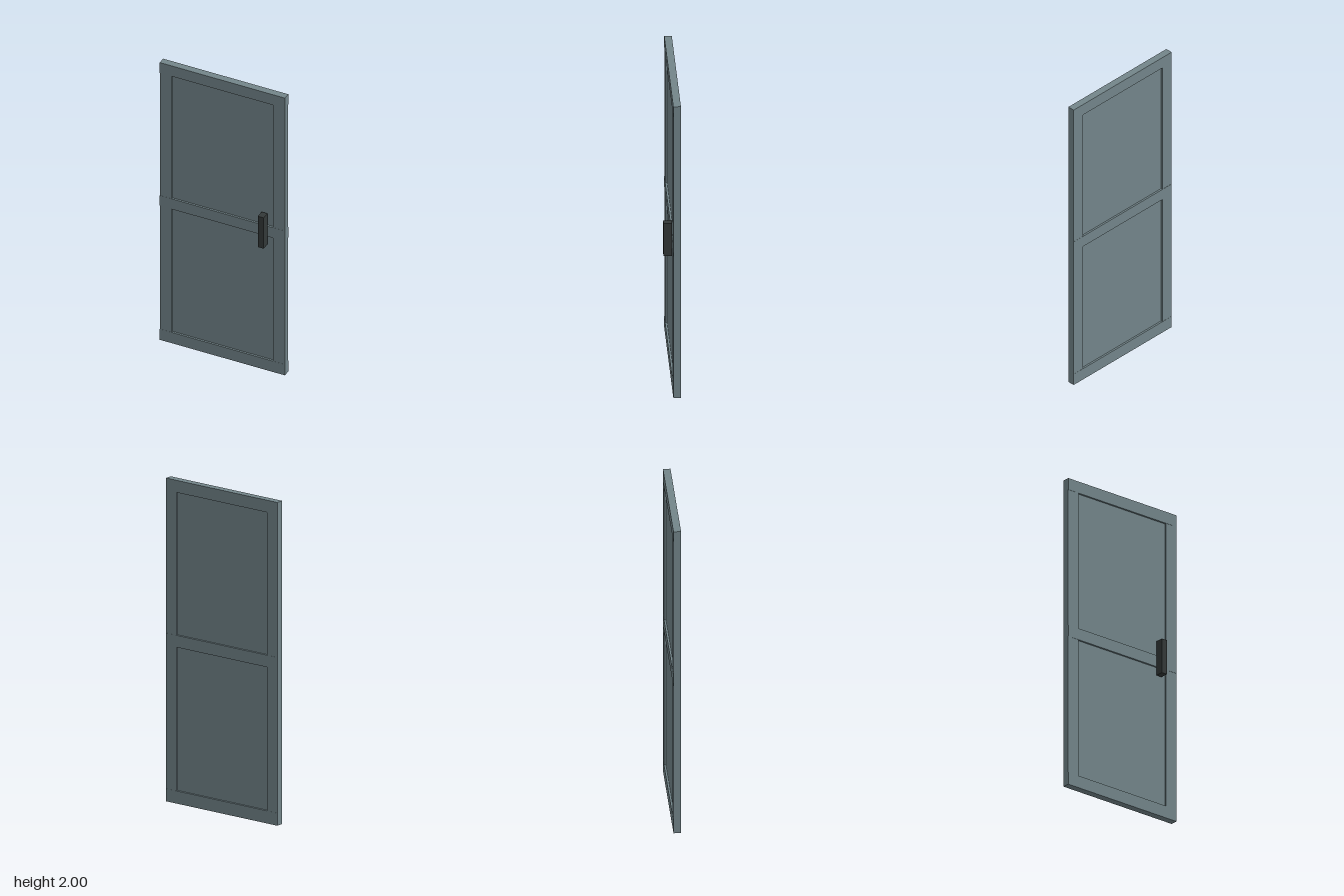
import * as THREE from 'three';

export function createModel() {
  const door = new THREE.Group();
  door.name = 'door';

  const paint = new THREE.MeshStandardMaterial({ color: 0x73858a });
  paint.name = 'greyBluePaint';
  const dark = new THREE.MeshStandardMaterial({ color: 0x333838 });
  dark.name = 'darkMetal';

  // Box given by its lower and upper corners
  function box(name, material, [x0, y0, z0], [x1, y1, z1]) {
    const mesh = new THREE.Mesh(new THREE.BoxGeometry(x1 - x0, y1 - y0, z1 - z0), material);
    mesh.position.set((x0 + x1) / 2, (y0 + y1) / 2, (z0 + z1) / 2);
    mesh.name = name;
    door.add(mesh);
  }

  const half = 0.414, inner = 0.336;
  const back = -0.048, front = -0.003;
  const rails = [
    ['bottomRail', 0, 0.078],
    ['middleRail', 0.967, 1.041],
    ['topRail', 1.925, 2],
  ];

  // Horizontal rails across the full width
  for (const [name, y0, y1] of rails) {
    box(name, paint, [-half, y0, back], [half, y1, front]);
  }

  // Stile sections and recessed panels between the rails
  ['lower', 'upper'].forEach((level, i) => {
    const y0 = rails[i][2], y1 = rails[i + 1][1];
    box(level + 'RightStile', paint, [-half, y0, back + 0.001], [-inner, y1, front - 0.001]);
    box(level + 'LeftStile', paint, [inner, y0, back + 0.001], [half, y1, front - 0.001]);
    box(level + 'Panel', paint, [-inner, y0, back + 0.012], [inner, y1, front - 0.012]);
  });

  // Block pull handle on the front
  box('handle', dark, [0.26, 0.91, front], [0.299, 1.132, 0.048]);

  return door;
}
